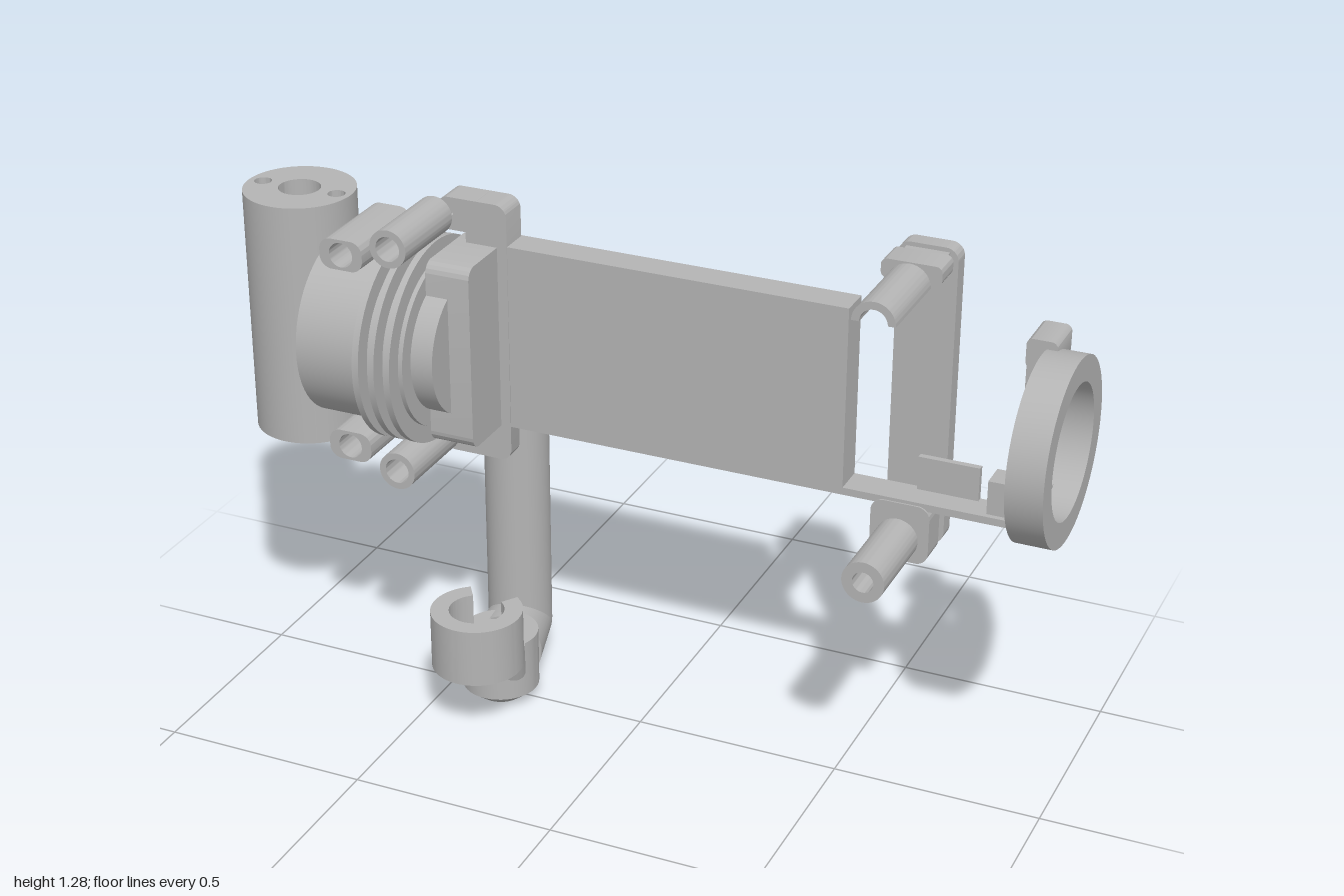
import * as THREE from 'three';
import { toCreasedNormals } from 'three/addons/utils/BufferGeometryUtils.js';

const grey = new THREE.MeshStandardMaterial({ color: 0xb4b4b4 });
grey.name = 'grey plastic';

export function createModel() {
  const model = new THREE.Group();
  model.name = 'bracketAssembly';

  const add = (name, geometry) => {
    const mesh = new THREE.Mesh(geometry, grey);
    mesh.name = name;
    model.add(mesh);
    return mesh;
  };

  // Box given by its limits on each axis
  const box = (name, x0, x1, y0, y1, z0, z1) =>
    add(name, new THREE.BoxGeometry(x1 - x0, y1 - y0, z1 - z0)
      .translate((x0 + x1) / 2, (y0 + y1) / 2, (z0 + z1) / 2));

  // Extrude a shape from a to b along an axis.
  // Shape coordinates: z axis (x, y); x axis (-z, y); y axis (x, -z)
  const extrude = (name, shape, axis, a, b) => {
    const g = new THREE.ExtrudeGeometry(shape, { depth: b - a, bevelEnabled: false, curveSegments: 32 });
    g.translate(0, 0, a);
    if (axis === 'x') g.rotateY(Math.PI / 2);
    if (axis === 'y') g.rotateX(-Math.PI / 2);
    return add(name, toCreasedNormals(g, 0.5));
  };

  const disc = (u, v, r, holes = []) => {
    const s = new THREE.Shape();
    s.absarc(u, v, r, 0, Math.PI * 2);
    return cut(s, holes);
  };

  const cut = (shape, holes) => {
    for (const [u, v, r] of holes) {
      const p = new THREE.Path();
      p.absarc(u, v, r, 0, Math.PI * 2, true);
      shape.holes.push(p);
    }
    return shape;
  };

  const roundRect = (x0, x1, y0, y1, r, holes = []) => {
    const s = new THREE.Shape();
    s.absarc(x1 - r, y0 + r, r, -Math.PI / 2, 0);
    s.absarc(x1 - r, y1 - r, r, 0, Math.PI / 2);
    s.absarc(x0 + r, y1 - r, r, Math.PI / 2, Math.PI);
    s.absarc(x0 + r, y0 + r, r, Math.PI, Math.PI * 1.5);
    return cut(s, holes);
  };

  // Part of an annulus between two angles
  const arc = (u, v, r, ri, a, b) => {
    const s = new THREE.Shape();
    s.absarc(u, v, r, a, b, false);
    s.absarc(u, v, ri, b, a, true);
    return s;
  };

  // Solid bar between two points
  const bar = (name, a, b, r0, r1) => {
    const p = new THREE.Vector3(...a), q = new THREE.Vector3(...b);
    const mesh = add(name, new THREE.CylinderGeometry(r1, r0, p.distanceTo(q), 40));
    mesh.position.copy(p).lerp(q, 0.5);
    mesh.quaternion.setFromUnitVectors(new THREE.Vector3(0, 1, 0), q.sub(p).normalize());
  };

  const ball = (name, x, y, z, r) =>
    add(name, new THREE.SphereGeometry(r, 40, 24).translate(x, y, z));

  // Upright end cylinder with a centre bore and two pin holes
  extrude('endCylinder',
    disc(-0.867, 0, 0.133, [[-0.867, 0, 0.05], [-0.965, 0, 0.021], [-0.769, 0, 0.021]]), 'y', 0.64, 1.24);

  // Horizontal sleeve, its fins and the stepped inner end
  extrude('sleeve', disc(0, 0.925, 0.217), 'x', -0.77, -0.6);
  extrude('finCore', disc(0, 0.92, 0.205), 'x', -0.6, -0.5);
  for (const x of [-0.607, -0.567, -0.527]) extrude('fin', disc(0, 0.92, 0.247), 'x', x, x + 0.016);
  extrude('sleeveEnd', disc(0, 0.92, 0.165), 'x', -0.51, -0.445);

  // Block joining the sleeve to the plate
  extrude('sleeveBlock', roundRect(-0.08, 0.14, 0.69, 1.145, 0.03), 'x', -0.5, -0.39);
  extrude('rearBlock', roundRect(0.1, 0.2, 0.76, 1.08, 0.03), 'x', -0.5, -0.41);

  // Left bracket with a small notch near each end
  extrude('leftBracket', roundRect(-0.47, -0.365, 0.6, 1.25, 0.03), 'z', -0.14, -0.065);
  for (const [a, b] of [[1.17, 1.25], [0.6, 0.68]]) {
    extrude('bracketLug', roundRect(-0.54, -0.42, a, b, 0.025,
      [[-0.55 + 0.055 - 0.01, (a + b) / 2, 0.004]]), 'z', -0.14, -0.065);
  }

  // Tubes and clips above and below the sleeve
  for (const s of [-1, 1]) {
    const y = 0.92 + s * 0.28;
    extrude('sleeveTube', disc(-0.55, y, 0.046, [[-0.55, y, 0.03]]), 'z', -0.065, 0.16);
    const c = 0.92 + s * 0.242;
    extrude('sleeveClip',
      roundRect(-0.73, -0.62, c - 0.037, c + 0.037, 0.03, [[-0.675, c, 0.03]]), 'z', -0.08, 0.155);
  }

  // Long plate and the thin strip that runs on from its lower edge
  box('mainPlate', -0.4, 0.47, 0.69, 1.15, -0.145, -0.067);
  box('lowerStrip', 0.46, 0.94, 0.69, 0.708, -0.145, -0.067);
  box('stripTab', 0.625, 0.77, 0.7, 0.79, -0.145, -0.13);
  box('stripStop', 0.805, 0.87, 0.7, 0.79, -0.145, -0.08);
  box('ringFoot', 0.86, 0.94, 0.69, 0.79, -0.17, -0.08);

  // Open ring at the far end with its upright strap
  extrude('endRing', disc(0.042, 0.92, 0.215, [[0.042, 0.92, 0.155]]), 'x', 0.915, 1);
  extrude('ringStrap', roundRect(0.852, 0.9, 0.76, 1.11, 0.02), 'z', -0.185, -0.155);
  extrude('strapCap', roundRect(0.87, 0.94, 1.08, 1.15, 0.015), 'z', -0.185, -0.08);

  // Cross plate with its lower tube and upper half shell
  extrude('crossPlate', roundRect(0.54, 0.68, 0.555, 1.285, 0.03), 'z', -0.215, -0.172);
  const bore = [[0.605, 0.61, 0.025]];
  extrude('lowerCollar', roundRect(0.54, 0.68, 0.555, 0.7, 0.03), 'z', -0.135, -0.063);
  box('lowerNeck', 0.56, 0.66, 0.57, 0.69, -0.175, -0.13);
  extrude('lowerTube', disc(0.605, 0.61, 0.05, bore), 'z', -0.065, 0.158);
  extrude('upperCollar', roundRect(0.54, 0.68, 1.24, 1.285, 0.015), 'z', -0.135, -0.063);
  box('upperNeck', 0.56, 0.66, 1.245, 1.275, -0.175, -0.13);
  extrude('upperShell', arc(0.605, 1.232, 0.05, 0.032, 0, Math.PI), 'z', -0.065, 0.158);

  // Handle post with rounded ends and a forward elbow
  bar('handlePost', [-0.407, 0.1, -0.176], [-0.407, 0.8, -0.176], 0.079, 0.079);
  ball('handleTop', -0.407, 0.8, -0.176, 0.079);
  ball('handleElbow', -0.407, 0.1, -0.176, 0.079);
  bar('handleArm', [-0.407, 0.1, -0.176], [-0.375, 0.098, -0.035], 0.079, 0.088);

  // Bored hub with a tapered underside
  const profile = [[0.03, 0.005], [0.055, 0], [0.093, 0.03], [0.093, 0.175], [0.03, 0.175], [0.03, 0.005]];
  const hub = new THREE.LatheGeometry(profile.map(([r, y]) => new THREE.Vector2(r, y)), 40);
  add('handleHub', toCreasedNormals(hub.translate(-0.37, 0, 0.008), 0.5));

  // Split clamp ring carried in front of the hub
  const gap = 0.6;
  extrude('clampRing',
    arc(-0.36, -0.145, 0.11, 0.066, Math.PI / 2 + gap, Math.PI * 2.5 - gap), 'y', 0.16, 0.305);
  for (const s of [-1, 1]) {
    bar('clampStrut', [-0.365 + s * 0.055, 0.1, 0.06], [-0.36 + s * 0.075, 0.2, 0.095], 0.03, 0.022);
  }

  return model;
}
